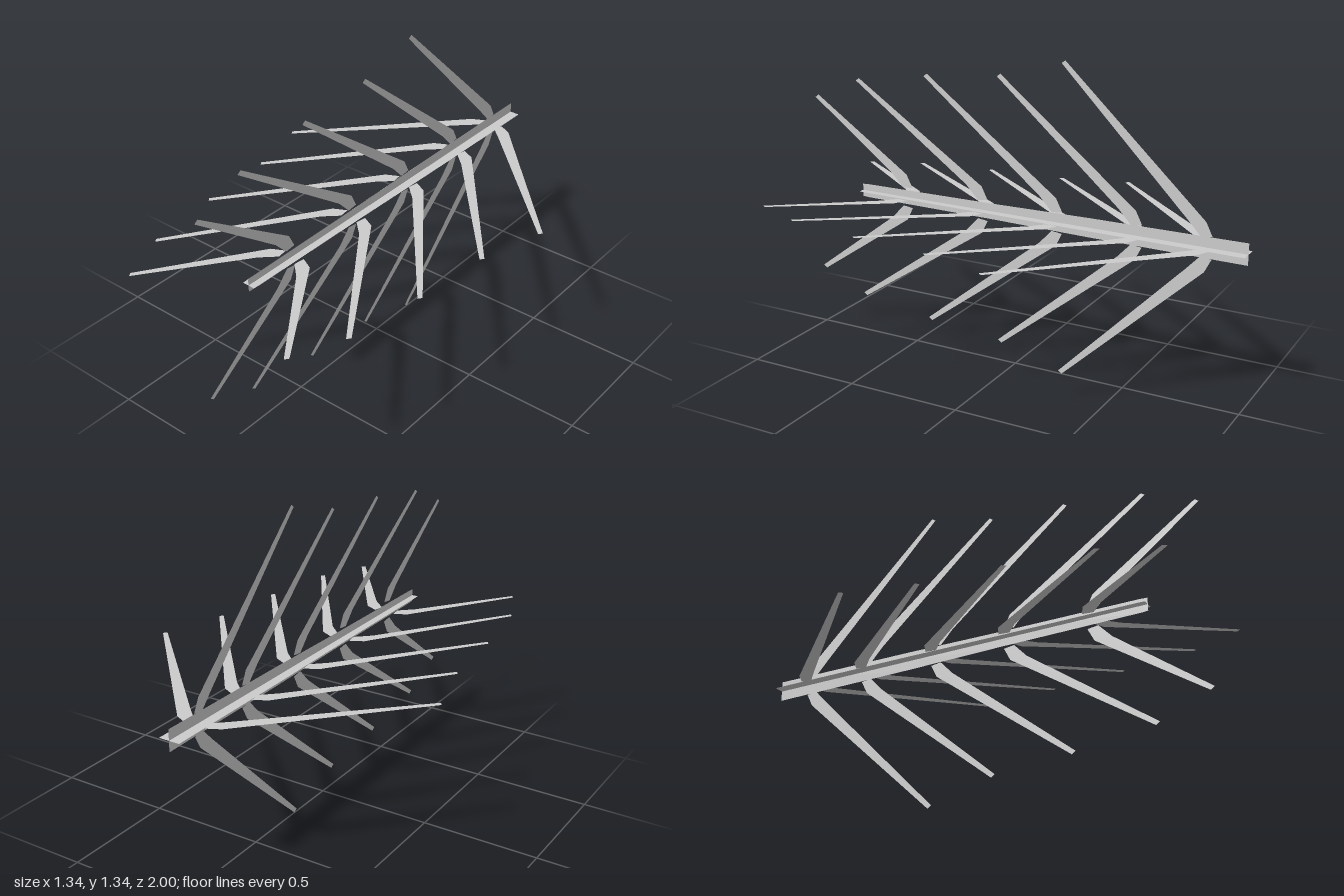
import * as THREE from 'three';

const AXIS_HEIGHT = 0.67;

// Each whorl of needles: root z, tip radius, tip z
const WHORLS = [
  [0.505, 0.405, 1.0],
  [0.132, 0.5, 0.78],
  [-0.215, 0.553, 0.435],
  [-0.565, 0.587, 0.085],
  [-0.855, 0.668, -0.205],
];

// Flat outline given as (radius, z), laid into the horizontal plane
function flatBlade(points) {
  const shape = new THREE.Shape(points.map(([r, z]) => new THREE.Vector2(r, z)));
  return new THREE.ShapeGeometry(shape).rotateX(Math.PI / 2);
}

export function createModel() {
  const model = new THREE.Group();
  model.name = 'needleTwig';
  const material = new THREE.MeshStandardMaterial({
    color: 0xcccccc, flatShading: true, side: THREE.DoubleSide,
  });

  function addBlade(parent, name, geometry, quarterTurns) {
    const mesh = new THREE.Mesh(geometry, material);
    mesh.name = name;
    mesh.rotation.z = quarterTurns * Math.PI / 2;
    parent.add(mesh);
  }

  const twig = new THREE.Group();
  twig.name = 'twig';
  twig.position.y = AXIS_HEIGHT;
  model.add(twig);

  // Stem: two crossed tapering strips
  const edge = [[0.045, -1], [0.041, -0.33], [0.034, 0.13], [0.03, 0.735], [0.028, 0.763]];
  const mirrored = edge.map(([r, z]) => [-r, z]).reverse();
  const stem = flatBlade([...edge, ...mirrored]);
  addBlade(twig, 'stemHorizontal', stem, 0);
  addBlade(twig, 'stemVertical', stem, 1);

  // Needles: four to a whorl, pointing left, up, right and down
  const sides = ['Left', 'Up', 'Right', 'Down'];
  WHORLS.forEach(([z0, tipR, tipZ], i) => {
    const whorl = new THREE.Group();
    whorl.name = `needleWhorl${i + 1}`;
    const needle = flatBlade([
      [0.046, z0], [0.102, z0 + 0.028],
      [tipR, tipZ - 0.016], [tipR - 0.012, tipZ],
      [0.1, z0 + 0.103], [0.04, z0 + 0.047],
    ]);
    sides.forEach((side, k) => addBlade(whorl, `needle${side}`, needle, k));
    twig.add(whorl);
  });

  return model;
}
